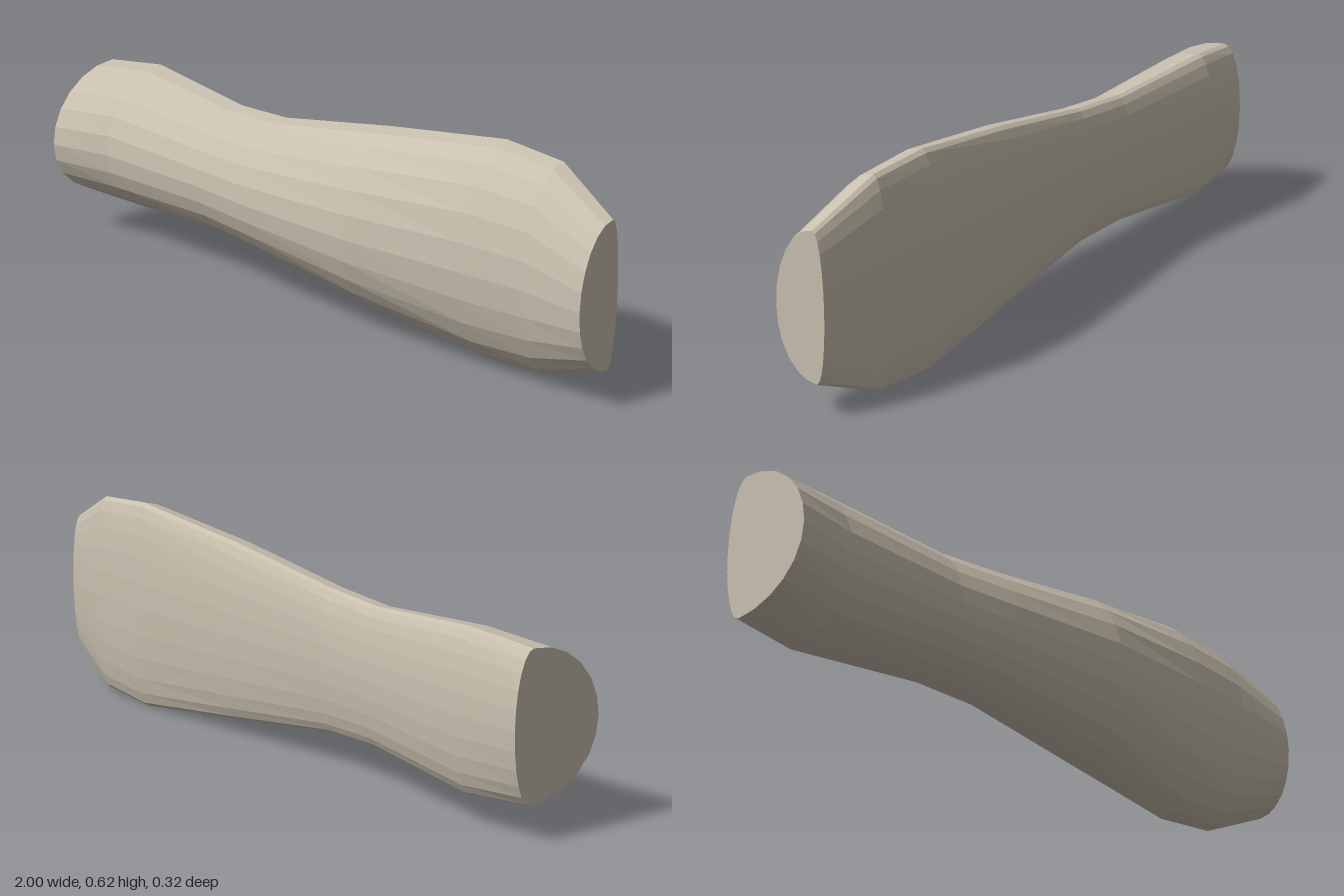
import * as THREE from 'three';

// Stations along the length: x, bottom y, top y, back z, front z
const STATIONS = [
  [-1.0, 0.1, 0.51, -0.145, 0.157],
  [-0.8, 0.085, 0.53, -0.16, 0.115],
  [-0.4, 0.11, 0.498, -0.11, 0.111],
  [-0.2, 0.1, 0.508, -0.096, 0.127],
  [0.2, 0.048, 0.57, -0.116, 0.138],
  [0.6, 0.0, 0.62, -0.13, 0.1],
  [0.8, 0.014, 0.607, -0.116, 0.084],
  [1.0, 0.097, 0.51, -0.065, 0.087],
];
const SIDES = 24;

// Cross-section: deep half ellipse in front, shallow one behind
function section([x, y0, y1, back, front]) {
  const crease = back + (front - back) * 0.2;
  const ring = [];
  for (let j = 0; j < SIDES; j++) {
    const a = (j / SIDES) * Math.PI * 2;
    const c = Math.cos(a), s = Math.sin(a);
    const sag = s > 0 ? 0.015 * s * s : 0; // front ridge sits slightly low
    ring.push([
      x,
      (y0 + y1) / 2 + ((y1 - y0) / 2) * c - sag,
      crease + s * (s > 0 ? front - crease : crease - back),
    ]);
  }
  return ring;
}

function meshFrom(triangles, material, name) {
  const geometry = new THREE.BufferGeometry();
  geometry.setAttribute('position', new THREE.Float32BufferAttribute(triangles.flat(), 3));
  geometry.computeVertexNormals();
  const mesh = new THREE.Mesh(geometry, material);
  mesh.name = name;
  return mesh;
}

export function createModel() {
  const group = new THREE.Group();
  group.name = 'contouredGrip';
  const stone = new THREE.MeshStandardMaterial({ color: 0xc8bfae });
  stone.name = 'warm stone';

  const rings = STATIONS.map(section);

  // Faceted skin lofted between the sections
  const skin = [];
  for (let i = 0; i < rings.length - 1; i++) {
    for (let j = 0; j < SIDES; j++) {
      const k = (j + 1) % SIDES;
      const a = rings[i][j], b = rings[i][k], c = rings[i + 1][k], d = rings[i + 1][j];
      skin.push(a, b, c, a, c, d);
    }
  }
  group.add(meshFrom(skin, stone, 'body'));

  // Flat end caps
  const cap = (ring, flip, name) => {
    const triangles = [];
    for (let j = 1; j < SIDES - 1; j++) {
      triangles.push(ring[0], ring[flip ? j + 1 : j], ring[flip ? j : j + 1]);
    }
    group.add(meshFrom(triangles, stone, name));
  };
  cap(rings[0], true, 'rightEnd');
  cap(rings[rings.length - 1], false, 'leftEnd');

  return group;
}
